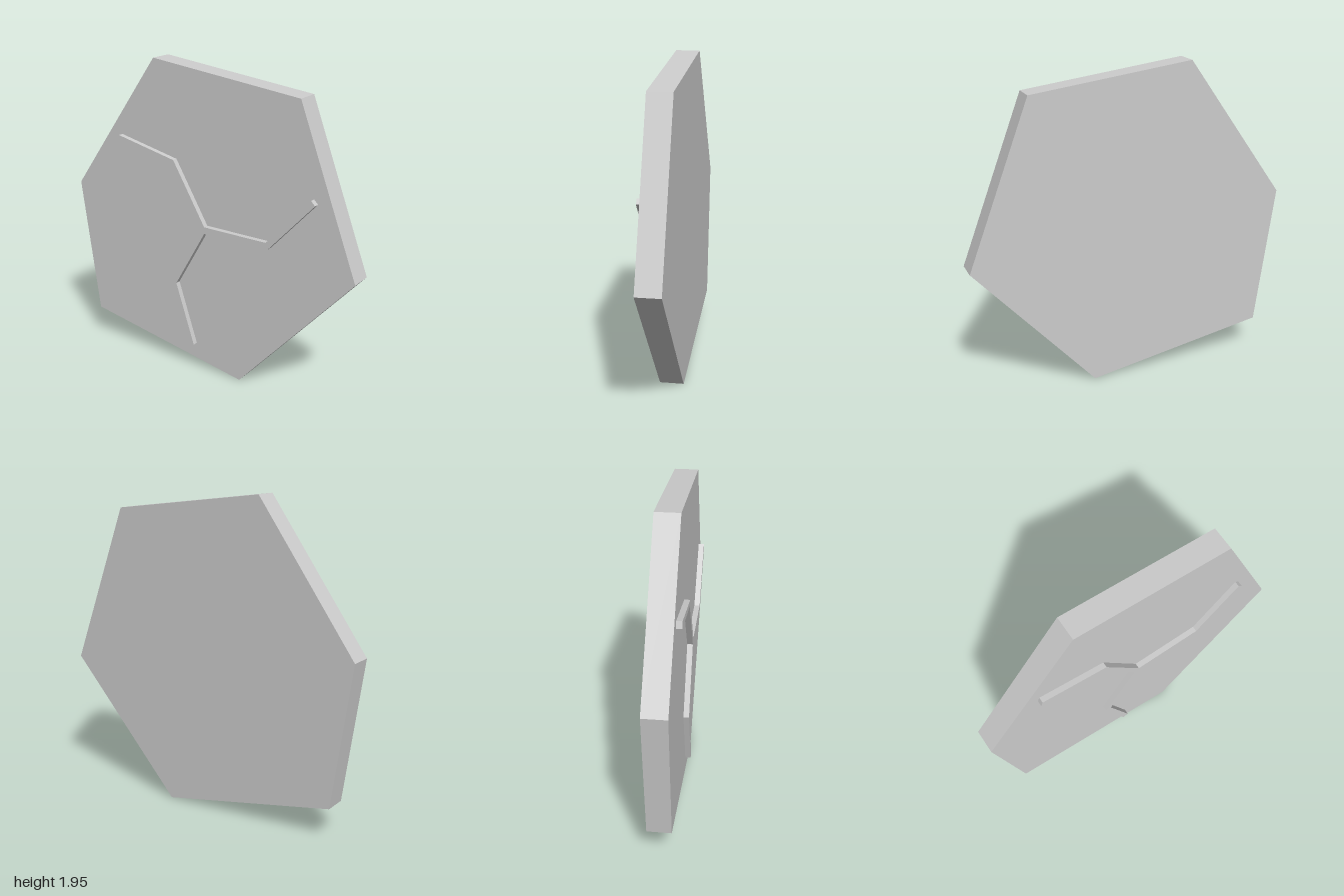
import * as THREE from 'three';

// Flat plate with a straight-sided outline, from z0 to z1
function plate(name, points, z0, z1, material) {
  const shape = new THREE.Shape(points.map(([x, y]) => new THREE.Vector2(x, y)));
  const geometry = new THREE.ExtrudeGeometry(shape, { depth: z1 - z0, bevelEnabled: false });
  geometry.translate(0, 0, z0);
  const mesh = new THREE.Mesh(geometry, material);
  mesh.name = name;
  return mesh;
}

export function createModel() {
  const group = new THREE.Group();
  group.name = 'hexagonalTile';
  const grey = new THREE.MeshStandardMaterial({ color: 0xcccccc });
  grey.name = 'light grey';

  // Irregular six-sided slab
  const slab = [
    [-0.377, 1.95], [-1, 1.078], [-0.875, 0.205],
    [0.25, 0], [1, 0.828], [0.622, 1.826],
  ];
  group.add(plate('slab', slab, -0.09, 0.056, grey));

  // Raised three-armed ridge on the front, each arm bent once
  const ridge = [
    [-0.024, 0.952],
    [-0.241, 1.329], [-0.645, 1.412], [-0.632, 1.452], [-0.215, 1.358], // upper left arm
    [0.01, 0.976],
    [0.44, 0.97], [0.724, 1.278], [0.75, 1.251], [0.457, 0.933], // right arm
    [0.01, 0.933],
    [-0.204, 0.559], [-0.073, 0.165], [-0.11, 0.155], [-0.24, 0.561], // lower arm
  ];
  group.add(plate('ridge', ridge, 0.05, 0.09, grey));

  return group;
}
